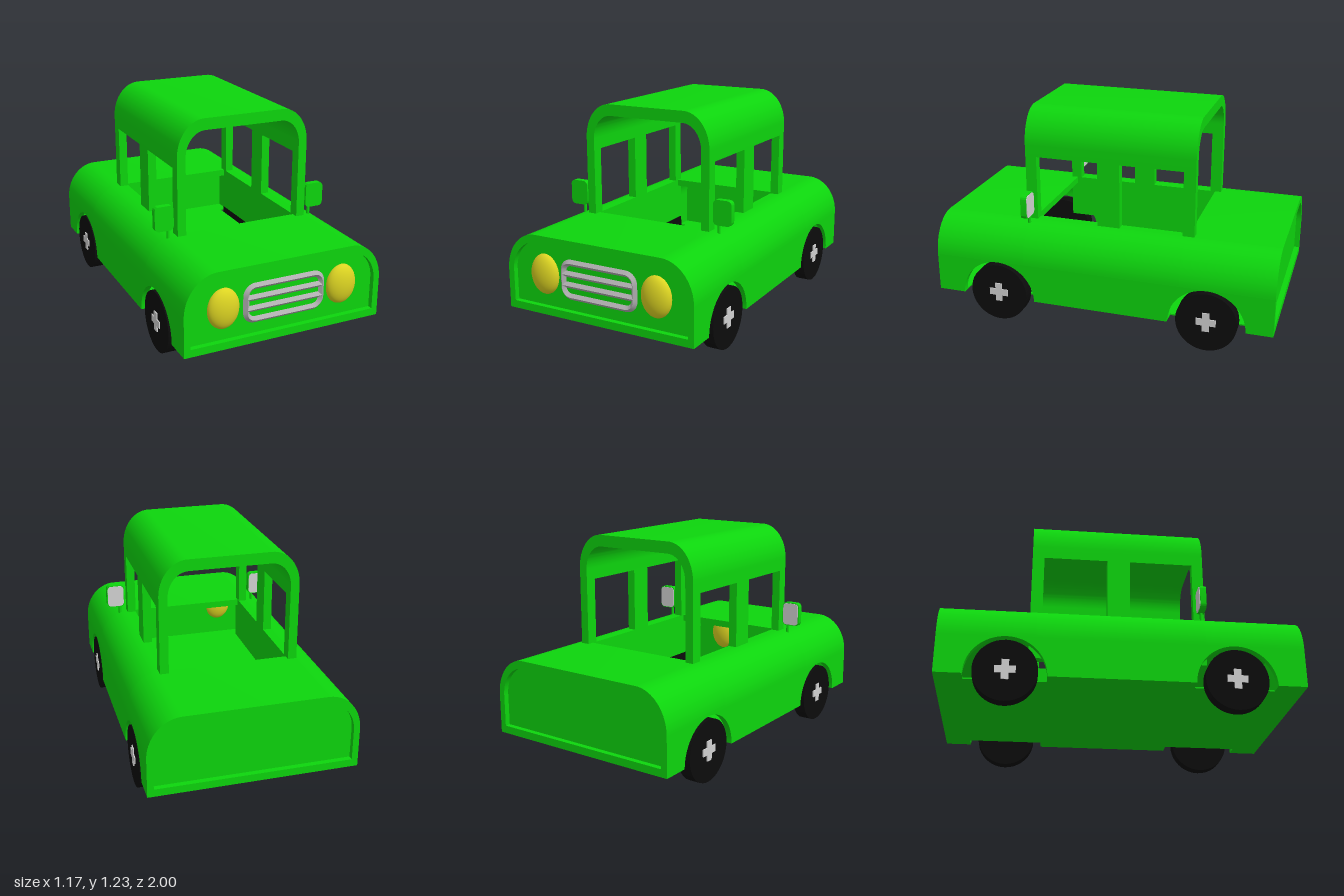
import * as THREE from 'three';
import { toCreasedNormals } from 'three/addons/utils/BufferGeometryUtils.js';

const PI = Math.PI;

export function createModel() {
  const car = new THREE.Group();
  car.name = 'car';
  const mat = (name, color) => {
    const m = new THREE.MeshStandardMaterial({ color });
    m.name = name;
    return m;
  };
  const green = mat('green paint', 0x0dd50d);
  const black = mat('black rubber', 0x0c0c0c);
  const yellow = mat('yellow lamp', 0xdcd422);
  const chrome = mat('grey metal', 0xb0aeb0);
  const silver = mat('light silver', 0xd2d2d2);

  const add = (name, geo, material, x = 0, y = 0, z = 0) => {
    const mesh = new THREE.Mesh(geo, material);
    mesh.name = name;
    mesh.position.set(x, y, z);
    car.add(mesh);
    return mesh;
  };
  const box = (name, material, x0, x1, y0, y1, z0, z1) =>
    add(name, new THREE.BoxGeometry(x1 - x0, y1 - y0, z1 - z0), material,
      (x0 + x1) / 2, (y0 + y1) / 2, (z0 + z1) / 2);
  // Extrude a front (x, y) shape from z0 to z1
  const extrudeZ = (shape, z0, z1) => toCreasedNormals(
    new THREE.ExtrudeGeometry(shape, { depth: z1 - z0, bevelEnabled: false, curveSegments: 12 })
      .translate(0, 0, z0), 0.5);
  // Extrude a side (z, y) shape from x0 to x1
  const extrudeX = (shape, x0, x1) => toCreasedNormals(
    new THREE.ExtrudeGeometry(shape, { depth: x1 - x0, bevelEnabled: false, curveSegments: 20 })
      .rotateY(-PI / 2).translate(x1, 0, 0), 0.5);

  // Arch outline with elliptical shoulders; w = half width, h = top
  const traceArch = (s, { w, h, rx, ry }, y0) => {
    s.moveTo(-w, y0);
    s.lineTo(-w, h - ry);
    s.absellipse(-w + rx, h - ry, rx, ry, PI, PI / 2, true);
    s.lineTo(w - rx, h);
    s.absellipse(w - rx, h - ry, rx, ry, PI / 2, 0, true);
    s.lineTo(w, y0);
    return s;
  };
  const archBand = (outer, i, y0) => {
    const s = traceArch(new THREE.Shape(), outer, y0);
    s.lineTo(i.w, y0);
    s.lineTo(i.w, i.h - i.ry);
    s.absellipse(i.w - i.rx, i.h - i.ry, i.rx, i.ry, 0, PI / 2, false);
    s.lineTo(-i.w + i.rx, i.h);
    s.absellipse(-i.w + i.rx, i.h - i.ry, i.rx, i.ry, PI / 2, PI, false);
    s.lineTo(-i.w, y0);
    return s;
  };
  const roundRect = (Type, w, h, r) => {
    const s = new Type(), a = w / 2, b = h / 2;
    s.moveTo(a, -b + r);
    s.lineTo(a, b - r);
    s.absarc(a - r, b - r, r, 0, PI / 2, false);
    s.lineTo(-a + r, b);
    s.absarc(-a + r, b - r, r, PI / 2, PI, false);
    s.lineTo(-a, -b + r);
    s.absarc(-a + r, -b + r, r, PI, PI * 1.5, false);
    s.lineTo(a - r, -b);
    s.absarc(a - r, -b + r, r, PI * 1.5, PI * 2, false);
    return s;
  };

  // Body shell: hood, trunk and the shoulders beside the open cabin
  const bottom = 0.147, waist = 0.37, front = 0.98, back = -1;
  const holeFront = 0.44, holeBack = -0.475, holeHalf = 0.345;
  const bodyOuter = { w: 0.58, h: 0.59, rx: 0.19, ry: 0.22 };
  const bodyInner = { w: 0.545, h: 0.55, rx: 0.17, ry: 0.18 };
  const shell = archBand(bodyOuter, bodyInner, waist);
  add('hood', extrudeZ(shell, holeFront, front), green);
  add('trunk', extrudeZ(shell, back, holeBack), green);

  const shoulder = new THREE.Shape();
  shoulder.moveTo(holeHalf, 0.59);
  shoulder.lineTo(0.39, 0.59);
  shoulder.absellipse(0.39, waist, 0.19, 0.22, PI / 2, 0, true);
  shoulder.lineTo(0.545, waist);
  shoulder.absellipse(0.375, waist, 0.17, 0.18, 0, PI / 2, false);
  shoulder.lineTo(holeHalf, 0.55);
  const shoulderGeo = extrudeZ(shoulder, holeBack, holeFront);
  add('leftShoulder', shoulderGeo, green);
  add('rightShoulder', shoulderGeo.clone().rotateY(PI).translate(0, 0, holeFront + holeBack), green);

  // Lower side walls with wheel arches
  const axles = [-0.63, 0.6];
  const wall = new THREE.Shape();
  wall.moveTo(back, bottom);
  for (const z of axles) {
    wall.lineTo(z - 0.22, bottom);
    wall.absarc(z, bottom, 0.22, PI, 0, true);
  }
  wall.lineTo(front, bottom);
  wall.lineTo(front, waist);
  wall.lineTo(back, waist);
  add('leftSide', extrudeX(wall, 0.545, 0.58), green);
  add('rightSide', extrudeX(wall, -0.58, -0.545), green);

  // Thin floor, narrowed at the wheels
  box('floor', green, -0.5, 0.5, bottom, bottom + 0.008, back, front);
  for (const s of [-1, 1]) {
    for (const [z0, z1] of [[back, -0.85], [-0.41, 0.38], [0.82, front]]) {
      const a = s * 0.5, b = s * 0.546;
      box('floorEdge', green, Math.min(a, b), Math.max(a, b), bottom, bottom + 0.008, z0, z1);
    }
  }

  // Recessed end panels with a lip below each
  const panel = traceArch(new THREE.Shape(), bodyInner, bottom);
  add('frontPanel', extrudeZ(panel, 0.935, 0.95), green);
  add('backPanel', extrudeZ(panel, -0.97, -0.955), green);
  box('frontLip', green, -0.546, 0.546, bottom, 0.19, 0.94, front);
  box('backLip', green, -0.546, 0.546, bottom, 0.19, back, -0.96);

  // Cabin: arched roof on side frames with two windows each
  const cabinFront = 0.478, cabinBack = -0.513, sill = 0.575, head = 0.965;
  add('roof', extrudeZ(archBand(
    { w: 0.395, h: 1.235, rx: 0.16, ry: 0.2 },
    { w: 0.345, h: 1.17, rx: 0.115, ry: 0.14 }, head), cabinBack, cabinFront), green);
  const frame = new THREE.Shape();
  frame.moveTo(cabinBack, 0.33);
  frame.lineTo(cabinFront, 0.33);
  frame.lineTo(cabinFront, head);
  for (const [z0, z1] of [[0.05, 0.413], [-0.445, -0.08]].map((p) => [p[1], p[0]])) {
    frame.lineTo(z0, head);
    frame.lineTo(z0, sill);
    frame.lineTo(z1, sill);
    frame.lineTo(z1, head);
  }
  frame.lineTo(cabinBack, head);
  add('leftWindowFrame', extrudeX(frame, 0.345, 0.395), green);
  add('rightWindowFrame', extrudeX(frame, -0.395, -0.345), green);

  // Wheels with cross-shaped hubs
  const tyre = new THREE.CylinderGeometry(0.172, 0.172, 0.073, 40).rotateZ(PI / 2);
  for (const s of [-1, 1]) {
    for (const z of axles) {
      add('wheel', tyre, black, s * 0.5415, 0.172 + 0.003, z);
      add('hubBarUpright', new THREE.BoxGeometry(0.012, 0.112, 0.04), silver, s * 0.578, 0.178, z);
      add('hubBarLevel', new THREE.BoxGeometry(0.012, 0.04, 0.112), silver, s * 0.578, 0.178, z);
    }
  }

  // Headlights and side mirrors
  const lamp = new THREE.SphereGeometry(1, 32, 20).scale(0.09, 0.114, 0.05);
  const mirror = extrudeZ(roundRect(THREE.Shape, 0.11, 0.142, 0.025), 0, 0.035);
  const glass = extrudeZ(roundRect(THREE.Shape, 0.1, 0.132, 0.022), -0.004, 0.001);
  for (const s of [-1, 1]) {
    add('headlight', lamp, yellow, s * 0.35, 0.369, 0.95);
    add('mirrorHousing', mirror, green, s * 0.467, 0.7, 0.43);
    add('mirrorGlass', glass, silver, s * 0.467, 0.7, 0.43);
    add('mirrorStem', new THREE.CylinderGeometry(0.009, 0.009, 0.09, 12), green, s * 0.44, 0.597, 0.448);
  }

  // Grille: rounded ring of diamond section with two bars
  const ringPoints = roundRect(THREE.Path, 0.445, 0.19, 0.05).getPoints(6)
    .map((p) => new THREE.Vector3(p.x, p.y, 0));
  const ringPath = new THREE.CurvePath();
  ringPoints.forEach((p, i) => {
    const q = ringPoints[(i + 1) % ringPoints.length];
    if (p.distanceTo(q) > 1e-5) ringPath.add(new THREE.LineCurve3(p, q));
  });
  const ring = new THREE.TubeGeometry(ringPath, 120, 0.018, 4, true);
  add('grilleRing', toCreasedNormals(ring, 0.6), chrome, 0, 0.368, 0.96);
  const bar = toCreasedNormals(new THREE.CylinderGeometry(0.018, 0.018, 0.44, 4).rotateZ(PI / 2), 0.6);
  for (const y of [0.398, 0.337]) add('grilleBar', bar, chrome, 0, y, 0.96);

  return car;
}
